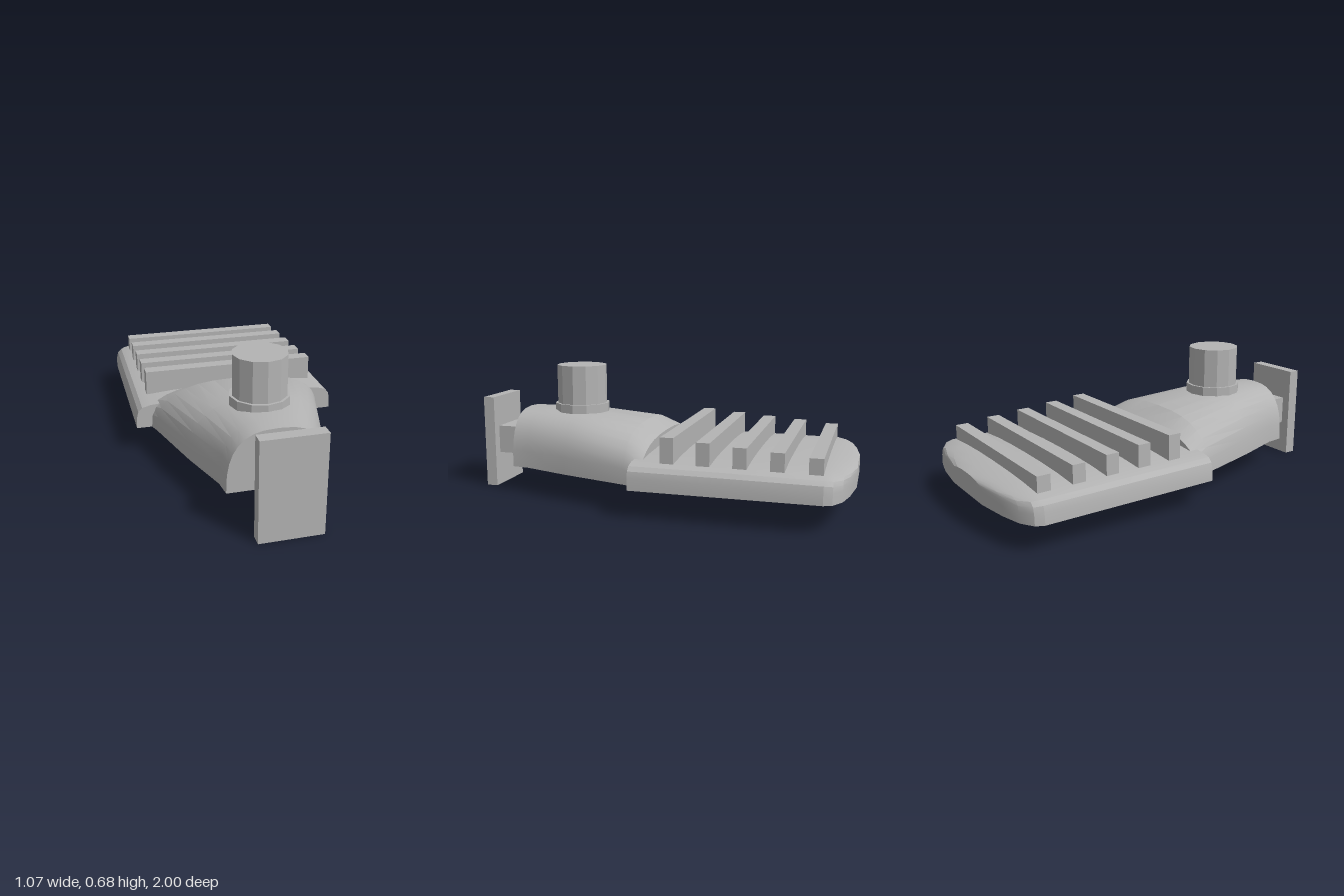
import * as THREE from 'three';
import { toCreasedNormals } from 'three/addons/utils/BufferGeometryUtils.js';

const BASE = 0.14;

// Skin a row of arched sections, front to back. Each section is [z, halfWidth, topY];
// arch holds [x, y] fractions from the lower edge up to the centre line.
function loft(sections, arch) {
  const mirrored = arch.slice(0, -1).reverse().map(([x, y]) => [-x, y]);
  const ring = [...arch, ...mirrored];
  const n = ring.length;
  const pos = [], idx = [];
  for (const [z, w, top] of sections)
    for (const [x, y] of ring) pos.push(x * w, BASE + y * (top - BASE), z);
  for (let s = 0; s < sections.length - 1; s++)
    for (let i = 0; i < n; i++) {
      const j = (i + 1) % n;
      const a = s * n + i, b = s * n + j, c = a + n, d = b + n;
      idx.push(a, c, b, b, c, d);
    }
  const last = (sections.length - 1) * n;
  for (let i = 1; i < n - 1; i++) {
    idx.push(0, i, i + 1);
    idx.push(last, last + i + 1, last + i);
  }
  const g = new THREE.BufferGeometry();
  g.setAttribute('position', new THREE.Float32BufferAttribute(pos, 3));
  g.setIndex(idx);
  return toCreasedNormals(g, 0.38);
}

export function createModel() {
  const model = new THREE.Group();
  model.name = 'streetLampHead';
  const grey = new THREE.MeshStandardMaterial({ color: 0xb4b4b4 });
  grey.name = 'grey';

  const add = (name, geometry) => {
    const mesh = new THREE.Mesh(geometry, grey);
    mesh.name = name;
    model.add(mesh);
    return mesh;
  };
  const box = (name, halfX, y0, y1, z0, z1) =>
    add(name, new THREE.BoxGeometry(halfX * 2, y1 - y0, z1 - z0))
      .position.set(0, (y0 + y1) / 2, (z0 + z1) / 2);
  const drum = (name, r, y0, y1, z) =>
    add(name, toCreasedNormals(new THREE.CylinderGeometry(r, r, y1 - y0, 12), 0.3))
      .position.set(0, (y0 + y1) / 2, z);

  // Wall mount
  box('mountingPlate', 0.153, 0, 0.495, 0.94, 1);
  box('mountingArm', 0.105, 0.18, 0.33, 0.77, 0.945);

  // Tapered housing with a rounded-square arch
  const arch = [];
  for (let i = 0; i <= 8; i++) {
    const t = (i / 8) * Math.PI / 2, e = 2 / 2.7;
    arch.push([i === 8 ? 0 : Math.cos(t) ** e, Math.sin(t) ** e]);
  }
  add('housing', loft([
    [0.79, 0.24, 0.435], [0.7, 0.25, 0.437], [0.45, 0.335, 0.437],
    [0.1, 0.435, 0.395], [0, 0.47, 0.34],
  ], arch));

  // Sensor on top of the housing
  drum('sensorCollar', 0.147, 0.42, 0.47, 0.48);
  drum('sensor', 0.134, 0.46, 0.675, 0.48);

  // Flat lamp head with rounded shoulders and a bowed rear edge
  add('lampHead', loft([
    [0.045, 0.533, 0.282], [-0.4, 0.533, 0.28], [-0.87, 0.533, 0.275],
    [-0.91, 0.515, 0.268], [-0.95, 0.45, 0.261], [-0.977, 0.34, 0.253], [-1, 0.17, 0.245],
  ], [[1, 0], [0.995, 0.42], [0.98, 0.64], [0.94, 0.79], [0.86, 0.87], [0.6, 0.95], [0.3, 0.99], [0, 1]]));
  box('lensPanel', 0.48, 0.13, 0.15, -0.91, -0.02);

  // Cooling fins, stepping down towards the rear
  [0.39, 0.375, 0.362, 0.35, 0.335].forEach((top, i) => {
    const z = -0.13 - i * 0.175;
    box('coolingFin' + (i + 1), 0.455, 0.255, top, z - 0.033, z + 0.033);
  });

  return model;
}
